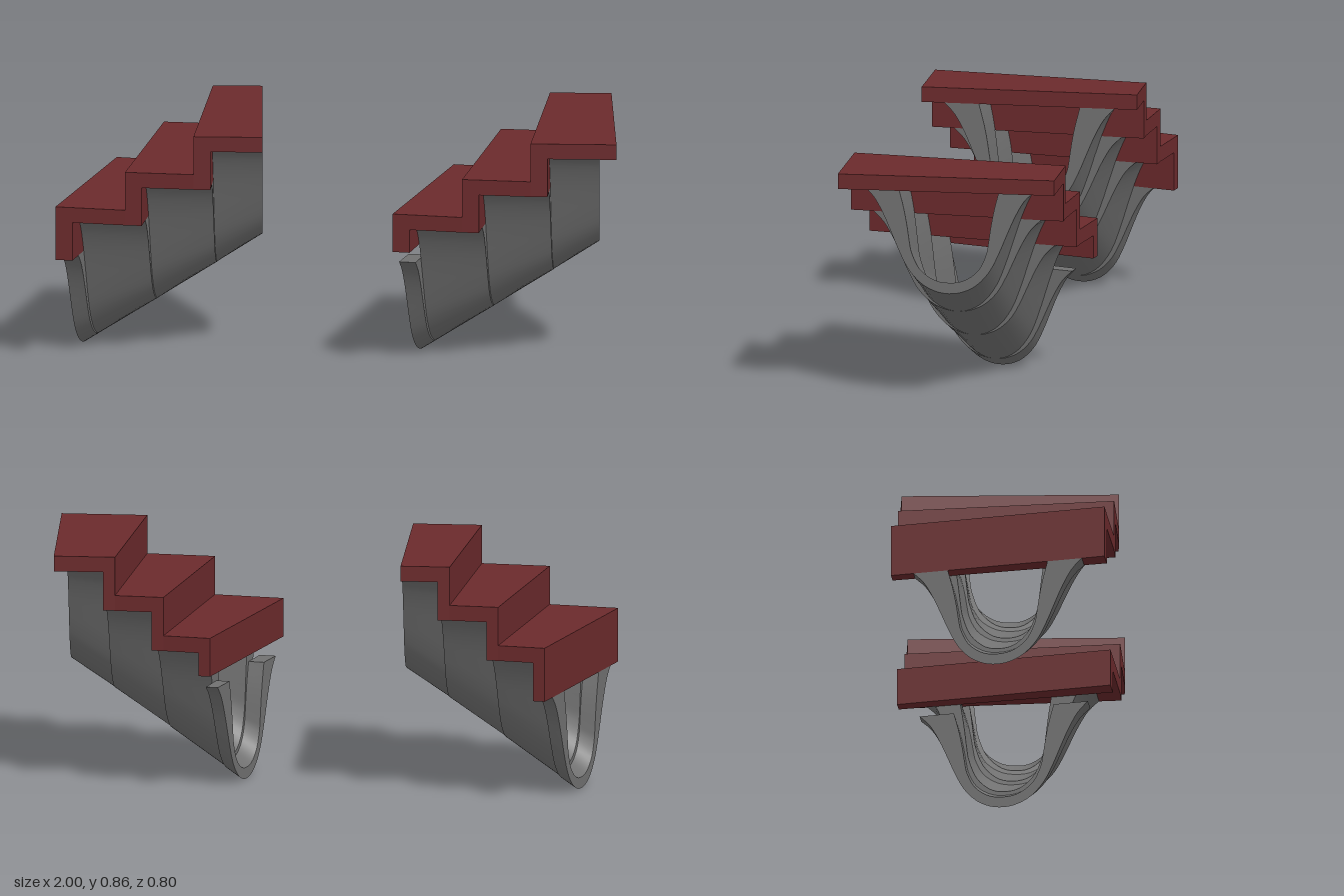
import * as THREE from 'three';
import { toCreasedNormals } from 'three/addons/utils/BufferGeometryUtils.js';

// Plan of one flight: front and back ends [x, z] of the radial riser lines
const FRONT = [[-1, 0.355], [-0.75, 0.385], [-0.505, 0.398], [-0.26, 0.387]];
const BACK = [[-0.85, -0.405], [-0.68, -0.382], [-0.505, -0.373], [-0.33, -0.382]];
const RISE = 0.1385, RISER = 0.245; // RISER: riser thickness as a share of a step
const UNDERSIDE = 0.523, TREAD = 0.055;

// Half profile of the trough as [half width, height], rim to bottom
const OUTER = [[0.305, 0.385], [0.268, 0.345], [0.235, 0.285], [0.205, 0.215], [0.178, 0.15],
  [0.145, 0.085], [0.1, 0.035], [0.05, 0.008], [0, 0]];
const INNER = [[0.181, 0.385], [0.162, 0.31], [0.15, 0.245], [0.142, 0.19], [0.133, 0.145],
  [0.105, 0.088], [0.055, 0.05], [0, 0.04]];

const treadMat = new THREE.MeshStandardMaterial({ color: 0x6b2a2c });
const troughMat = new THREE.MeshStandardMaterial({ color: 0x707070 });

// Front or back plan point at fractional step t
function planPoint(ends, t) {
  const i = Math.min(2, Math.floor(t)), f = t - i;
  return new THREE.Vector2(
    THREE.MathUtils.lerp(ends[i][0], ends[i + 1][0], f),
    THREE.MathUtils.lerp(ends[i][1], ends[i + 1][1], f));
}

// Flat slab covering the plan between the given stations
function slab(stations, y0, y1) {
  const pts = [
    ...stations.map(t => planPoint(FRONT, t)),
    ...[...stations].reverse().map(t => planPoint(BACK, t)),
  ].map(p => new THREE.Vector2(p.x, -p.y));
  const geo = new THREE.ExtrudeGeometry(new THREE.Shape(pts), { depth: y1 - y0, bevelEnabled: false });
  return geo.rotateX(-Math.PI / 2).translate(0, y0, 0);
}

// Smooth full curve, from the front rim under to the back rim
function fullCurve(half) {
  const mirrored = half.slice(0, -1).reverse().map(([s, h]) => [-s, h]);
  const pts = [...half, ...mirrored].map(([s, h]) => new THREE.Vector2(s, h));
  return new THREE.SplineCurve(pts).getPoints(48);
}
const LOOP = [...fullCurve(OUTER), ...fullCurve(INNER).reverse()];

// Cross-section on the radial line t, stretched from the sloping base up to top
function section(t, top) {
  const f = planPoint(FRONT, t), b = planPoint(BACK, t);
  const mid = f.clone().add(b).multiplyScalar(0.5);
  const dir = f.sub(b).normalize();
  const base = RISE * t, k = (top - base) / 0.385;
  return LOOP.map(p => [mid.x + dir.x * p.x, base + p.y * k, mid.y + dir.y * p.x]);
}

// Trough length lofted between two stations, capped at both ends
function trough(t0, t1, top) {
  const pos = [...section(t0, top), ...section(t1, top)].flat();
  const n = LOOP.length, idx = [];
  const quad = (a, b, c, d) => idx.push(a, b, c, a, c, d);
  for (let i = 0; i < n; i++) {
    const j = (i + 1) % n;
    quad(i, j, n + j, n + i);
  }
  for (let i = 0; i < n / 2 - 1; i++) {
    const m = n - 1 - i;
    quad(n + i, n + i + 1, n + m - 1, n + m);
    quad(i, m, m - 1, i + 1);
  }
  const geo = new THREE.BufferGeometry();
  geo.setAttribute('position', new THREE.Float32BufferAttribute(pos, 3));
  geo.setIndex(idx);
  return toCreasedNormals(geo, 0.6);
}

// One flight; lapped treads run on beneath the riser that follows
function flight(name, lapped) {
  const g = new THREE.Group();
  g.name = name;
  const add = (geo, mat, part) => {
    const m = new THREE.Mesh(geo, mat);
    m.name = part;
    g.add(m);
  };
  add(trough(0, RISER, UNDERSIDE - RISE), troughMat, 'troughFoot');
  for (let k = 0; k < 3; k++) {
    const under = UNDERSIDE + RISE * k, top = under + TREAD;
    const start = k + RISER;
    add(slab(lapped ? [k, k + 1, k + 1 + RISER] : [start, k + 1], under, top), treadMat, 'tread' + (k + 1));
    add(slab([k, start], lapped ? top - RISE : under - RISE, lapped ? under : top), treadMat, 'riser' + (k + 1));
    add(trough(start, k < 2 ? k + 1 + RISER : 3, under), troughMat, 'trough' + (k + 1));
  }
  return g;
}

export function createModel() {
  const model = new THREE.Group();
  model.name = 'stairFlights';
  const right = flight('rightFlight', false);
  const left = flight('leftFlight', true);
  left.position.x = 1.2;
  model.add(right, left);
  return model;
}
